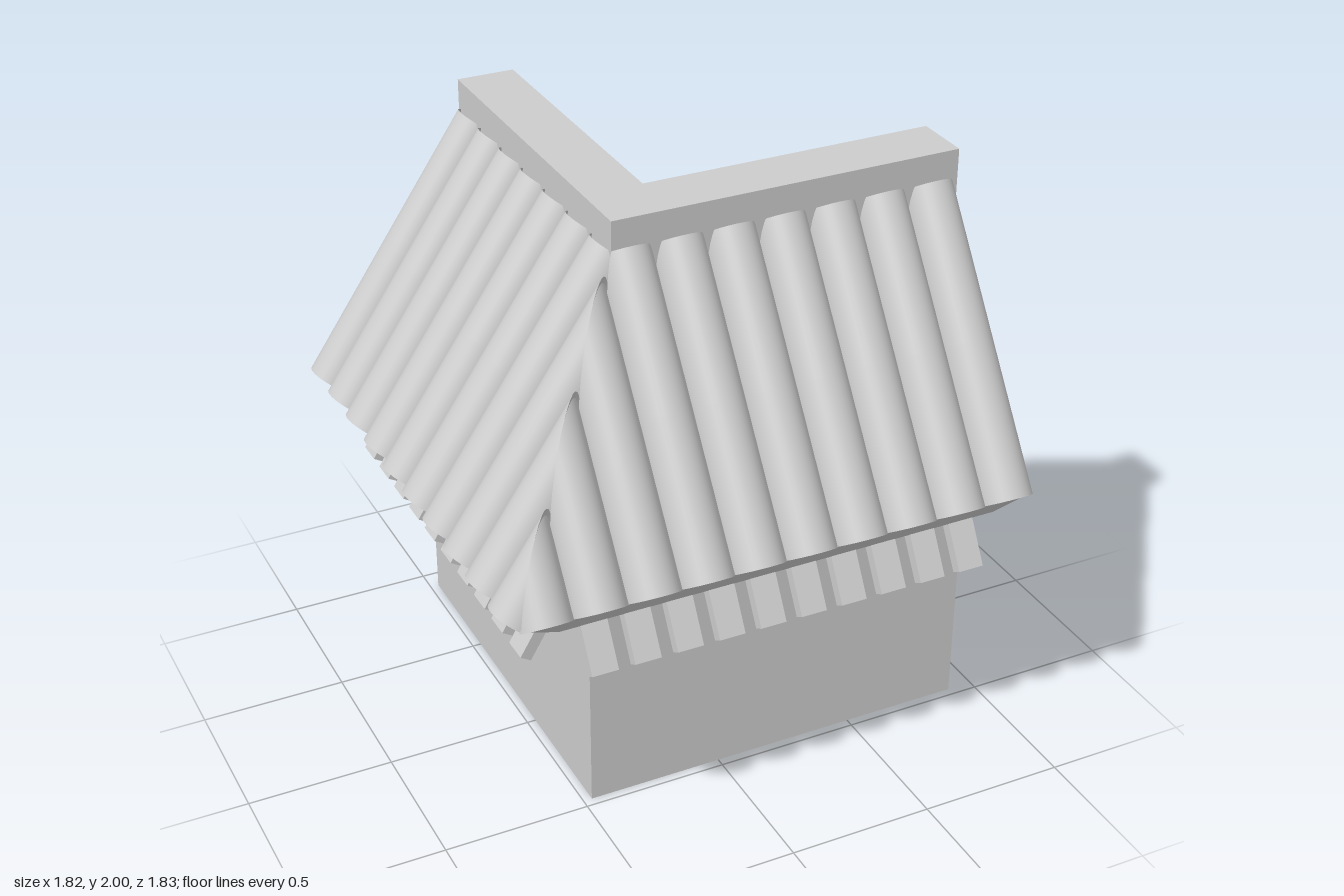
import * as THREE from 'three';

const END_A = 0.91, END_B = 0.92;   // where the two wings are cut off
const RIDGE = 0.2;                  // centre line of the wings: z = 0.2 and x = -0.2
const EAVE = { d: 0.63, y: 1.015 }; // lower edge of the roof slope
const DIR = new THREE.Vector2(-0.565, 0.825);  // up the slope
const OUT = new THREE.Vector2(0.825, 0.565);   // away from the slope
const PITCH = 0.177, TILE_HEIGHT = 0.1, TILE_LENGTH = 1.03;

const mat = new THREE.MeshStandardMaterial({ color: 0xcccccc, side: THREE.DoubleSide });
const flat = new THREE.MeshStandardMaterial({ color: 0xcccccc, side: THREE.DoubleSide, flatShading: true });

// u runs along a wing, d is the offset outwards from its centre line
const place = {
  A: (u, y, d) => [u, y, RIDGE + d],
  B: (u, y, d) => [-RIDGE - d, y, -u],
};

function mesh(name, positions, index, material) {
  const g = new THREE.BufferGeometry();
  g.setAttribute('position', new THREE.Float32BufferAttribute(positions, 3));
  g.setIndex(index);
  g.computeVertexNormals();
  const m = new THREE.Mesh(g, material);
  m.name = name;
  return m;
}

// sheet with a (d, y) profile, swept along both wings with a mitred corner
function sweep(name, profile) {
  const pos = [], idx = [];
  for (let i = 0; i < profile.length - 1; i++) {
    const b = pos.length / 3;
    for (const [d, y] of [profile[i], profile[i + 1]]) {
      pos.push(...place.A(END_A, y, d), -RIDGE - d, y, RIDGE + d, ...place.B(END_B, y, d));
    }
    for (const k of [b, b + 1]) idx.push(k, k + 1, k + 4, k, k + 4, k + 3);
  }
  return mesh(name, pos, idx, flat);
}

// half-round roof tile; outer tiles are trimmed along the hip
function tile(wing, u0, side) {
  const pos = [], idx = [], N = 16, ROWS = 2;
  for (let i = 0; i <= N; i++) {
    const a = Math.PI * i / N;
    const u = u0 + Math.cos(a) * PITCH / 2;
    const h = Math.sin(a) * TILE_HEIGHT;
    const d0 = EAVE.d + OUT.x * h;
    let len = TILE_LENGTH;
    if (side > 0) len = THREE.MathUtils.clamp((d0 + RIDGE + u) / -DIR.x, 0, TILE_LENGTH);
    for (let j = 0; j <= ROWS; j++) {
      const t = len * j / ROWS;
      pos.push(...place[wing](u, EAVE.y + OUT.y * h + DIR.y * t, side * (d0 + DIR.x * t)));
    }
  }
  const w = ROWS + 1;
  for (let i = 0; i < N; i++) {
    for (let j = 0; j < ROWS; j++) {
      const k = i * w + j;
      idx.push(k, k + 1, k + w, k + 1, k + w + 1, k + w);
    }
  }
  return mesh('roofTile', pos, idx, mat);
}

// sloping rafter that sticks out below the eave
function rafter(wing, u, side) {
  const top = new THREE.Vector3(...place[wing](u, 1.215, side * 0.215));
  const foot = new THREE.Vector3(...place[wing](u, 0.7, side * 0.52));
  const geo = wing === 'A'
    ? new THREE.BoxGeometry(0.09, 0.04, top.distanceTo(foot))
    : new THREE.BoxGeometry(0.09, 0.04, top.distanceTo(foot));
  const m = new THREE.Mesh(geo, flat);
  m.name = 'rafter';
  m.position.copy(top).lerp(foot, 0.5);
  m.lookAt(foot);
  return m;
}

export function createModel() {
  const model = new THREE.Group();
  model.name = 'cornerHouse';

  // hollow walls with a floor, open at both wing ends
  model.add(sweep('walls', [[0.27, 1.146], [0.27, 0], [-0.26, 0], [-0.26, 1.15]]));

  // sloping fascias, soffits and the flat ceiling between them
  model.add(sweep('eaves', [
    [0.63, 1.015], [0.45, 0.845], [0.17, 1.31], [-0.17, 1.31], [-0.45, 0.845], [-0.63, 1.015],
  ]));

  // ridge cap
  model.add(sweep('ridge', [[0.1, 1.8], [0.1, 2], [-0.1, 2], [-0.1, 1.8]]));

  // roof tiles and rafters on both sides of each wing
  const tiles = new THREE.Group(), rafters = new THREE.Group();
  tiles.name = 'roofTiles';
  rafters.name = 'rafters';
  for (const [wing, end, first] of [['A', END_A, 0.78], ['B', END_B, 0.81]]) {
    for (let i = 0; i < 10; i++) {
      const u = end - PITCH * (i + 0.5);
      tiles.add(tile(wing, u, 1));
      if (i < 6) tiles.add(tile(wing, u, -1));
      const r = first - 0.146 * i;
      rafters.add(rafter(wing, r, 1));
      if (i < 4) rafters.add(rafter(wing, r, -1));
    }
  }
  model.add(tiles, rafters);
  return model;
}
